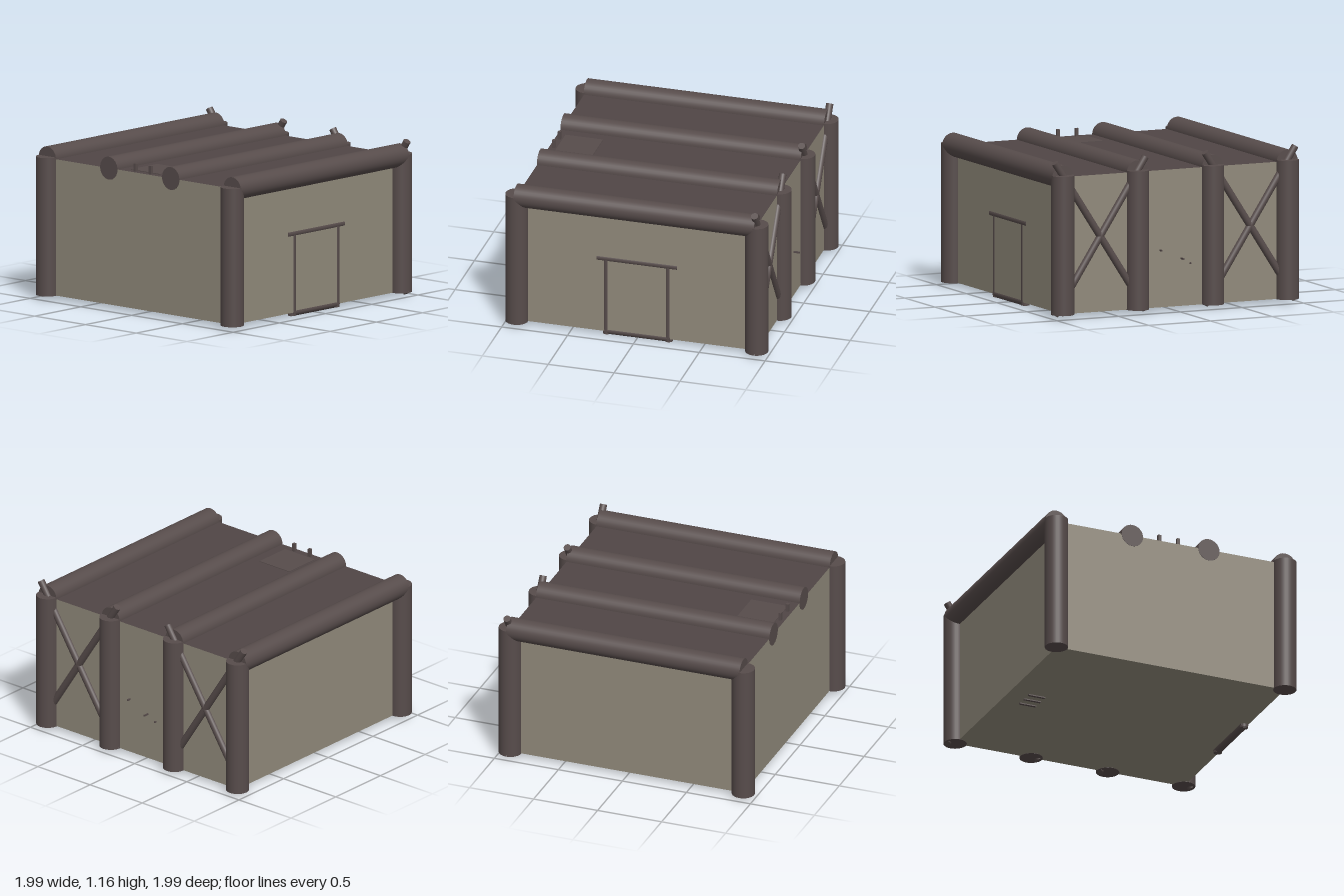
import * as THREE from 'three';

const X = 0.91, Z = 0.91, FLOOR = 0.03, TOP = 1.04, R = 0.085;

export function createModel() {
  const model = new THREE.Group();
  model.name = 'pipeFramedRoom';
  const wall = new THREE.MeshStandardMaterial({ color: 0x918a7b });
  wall.name = 'wallBeige';
  const metal = new THREE.MeshStandardMaterial({ color: 0x574c4b });
  metal.name = 'darkMetal';
  const roofMat = new THREE.MeshStandardMaterial({ color: 0x504646 });
  roofMat.name = 'roofBrown';

  function add(name, geometry, material, x = 0, y = 0, z = 0) {
    const mesh = new THREE.Mesh(geometry, material);
    mesh.name = name;
    mesh.position.set(x, y, z);
    model.add(mesh);
    return mesh;
  }
  // Straight round pipe between two points
  function pipe(name, a, b, radius, sides = 32) {
    const start = new THREE.Vector3(...a), end = new THREE.Vector3(...b);
    const dir = end.clone().sub(start);
    const mesh = add(name, new THREE.CylinderGeometry(radius, radius, dir.length(), sides), metal);
    mesh.position.copy(start).add(end).multiplyScalar(0.5);
    mesh.quaternion.setFromUnitVectors(new THREE.Vector3(0, 1, 0), dir.normalize());
    return mesh;
  }

  // Room block: side walls and floor beige, top face dark
  add('room', new THREE.BoxGeometry(2 * X, TOP - FLOOR, 2 * Z),
    [wall, wall, roofMat, wall, wall, wall], 0, (TOP + FLOOR) / 2, 0);

  // Roof beams, running front to back, with posts below them
  for (const x of [-X, -0.305, 0.305, X]) {
    pipe('roofBeam', [x, TOP, -Z - 0.002], [x, TOP, Z + 0.002], R);
    pipe('backPost', [x, FLOOR - 0.002, -Z], [x, 1.053, -Z], R);
    if (Math.abs(x) === X) pipe('frontPost', [x, FLOOR - 0.002, Z], [x, 1.053, Z], R);
  }

  // Crossed braces in the two outer back bays
  for (const side of [-1, 1]) {
    for (const lean of [-1, 1]) {
      const cx = side * 0.6075, dx = lean * 0.366;
      pipe('backBrace', [cx - dx, 0.025, -Z - 0.002], [cx + dx, 1.148, -Z - 0.002], 0.027, 20);
    }
  }

  // Doorway frame, almost flush with the left wall
  const doorX = 0.883;
  for (const z of [-0.235, 0.235]) {
    pipe('doorJamb', [doorX, 0.005, z], [doorX, 0.61, z], 0.03, 24);
  }
  pipe('doorLintel', [doorX, 0.615, -0.305], [doorX, 0.615, 0.305], 0.031, 24);
  pipe('doorSill', [doorX, 0.03, -0.25], [doorX, 0.03, 0.25], 0.03, 24);

  // Roof hatch with two hinge stubs
  add('roofHatch', new THREE.BoxGeometry(0.285, 0.008, 0.285), metal, 0, TOP, 0.707);
  for (const x of [-0.075, 0.075]) {
    add('hatchStub', new THREE.BoxGeometry(0.024, 0.09, 0.022), metal, x, 1.055, 0.875);
  }

  // Small pegs through the middle of the back wall
  for (const [x, y, length] of [[0.12, 0.45, 0.03], [-0.05, 0.38, 0.045], [-0.125, 0.34, 0.012]]) {
    add('backPeg', new THREE.BoxGeometry(0.01, 0.012, length), metal, x, y, -Z - length / 2);
  }

  // Low strips under the floor
  for (const z of [-0.08, 0, 0.08]) {
    add('floorStrip', new THREE.BoxGeometry(0.13, 0.009, 0.02), metal, -0.7, FLOOR - 0.004, z);
  }

  return model;
}
